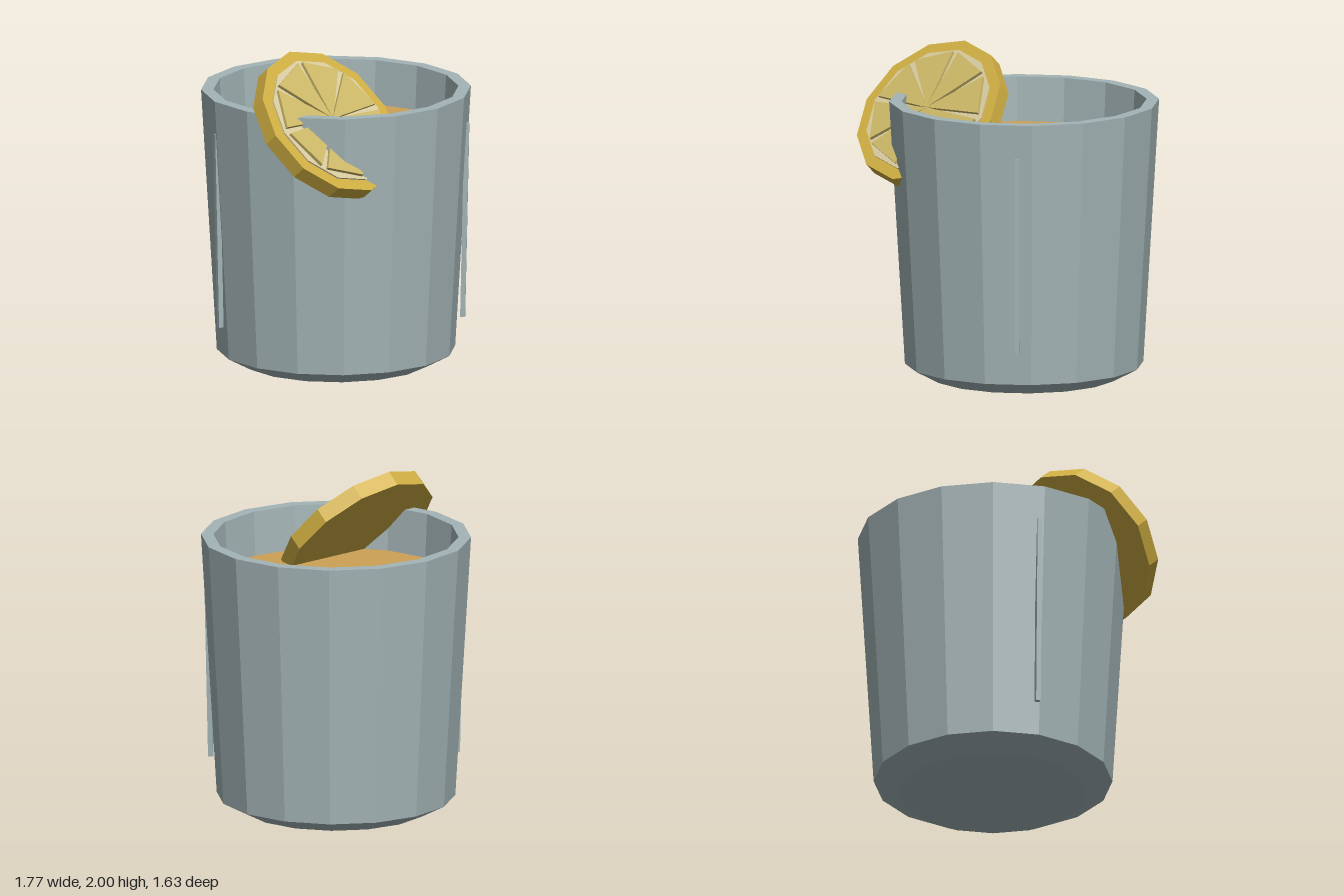
import * as THREE from 'three';

const mat = (color) => new THREE.MeshStandardMaterial({ color, flatShading: true });

function add(parent, name, geometry, material) {
  const mesh = new THREE.Mesh(geometry, material);
  mesh.name = name;
  parent.add(mesh);
  return mesh;
}

export function createModel() {
  const model = new THREE.Group();
  model.name = 'drink';
  const glassMat = mat(0xa3b4b6);
  const rindMat = mat(0xcfae42);
  const pithMat = mat(0xd8cba0);
  const fleshMat = mat(0xcdb868);
  const liquidMat = mat(0xcda156);

  // Sixteen-sided tumbler with chamfered base, flat rim and tapered inside
  const tumbler = new THREE.Group();
  tumbler.name = 'tumbler';
  tumbler.position.x = 0.07;
  model.add(tumbler);
  const profile = [
    [0, 0], [0.57, 0], [0.72, 0.08], [0.815, 1.69],
    [0.74, 1.69], [0.65, 0.12], [0, 0.12],
  ].map(([r, y]) => new THREE.Vector2(r, y));
  add(tumbler, 'glass', new THREE.LatheGeometry(profile, 16), glassMat);

  // Liquid surface
  const surface = new THREE.CircleGeometry(0.724, 16).rotateX(-Math.PI / 2);
  add(tumbler, 'liquid', surface, liquidMat).position.y = 1.42;

  // Thin upright bars on the outer wall, sinking into it towards the top
  for (const degrees of [51.5, 204.5]) {
    const bar = new THREE.Group();
    bar.name = 'sideBar';
    bar.rotation.y = -THREE.MathUtils.degToRad(degrees);
    tumbler.add(bar);
    const strip = add(bar, 'barStrip', new THREE.BoxGeometry(0.03, 1.2, 0.03), glassMat);
    strip.position.set(0.777, 0.88, 0);
    strip.rotation.z = -0.021;
  }

  // Citrus slice leaning back over the rim
  const slice = new THREE.Group();
  slice.name = 'citrusSlice';
  slice.position.set(-0.385, 1.59, 0.317);
  slice.rotation.x = -0.716;
  model.add(slice);

  const disc = (radius, depth) =>
    new THREE.CylinderGeometry(radius, radius, depth, 12).rotateX(Math.PI / 2);
  add(slice, 'rind', disc(0.5, 0.1), rindMat);
  add(slice, 'pith', disc(0.427, 0.02), pithMat).position.z = 0.05;

  // Eight raised wedges of flesh meeting at the middle
  const half = THREE.MathUtils.degToRad(19.5);
  const wedge = new THREE.Shape([
    new THREE.Vector2(0, 0),
    new THREE.Vector2(0.402 * Math.cos(half), -0.402 * Math.sin(half)),
    new THREE.Vector2(0.402 * Math.cos(half), 0.402 * Math.sin(half)),
  ]);
  const wedgeGeometry = new THREE.ExtrudeGeometry(wedge, { depth: 0.03, bevelEnabled: false });
  for (let i = 0; i < 8; i++) {
    const segment = add(slice, 'fleshSegment', wedgeGeometry, fleshMat);
    segment.position.z = 0.05;
    segment.rotation.z = (i + 0.5) * Math.PI / 4;
  }

  return model;
}
